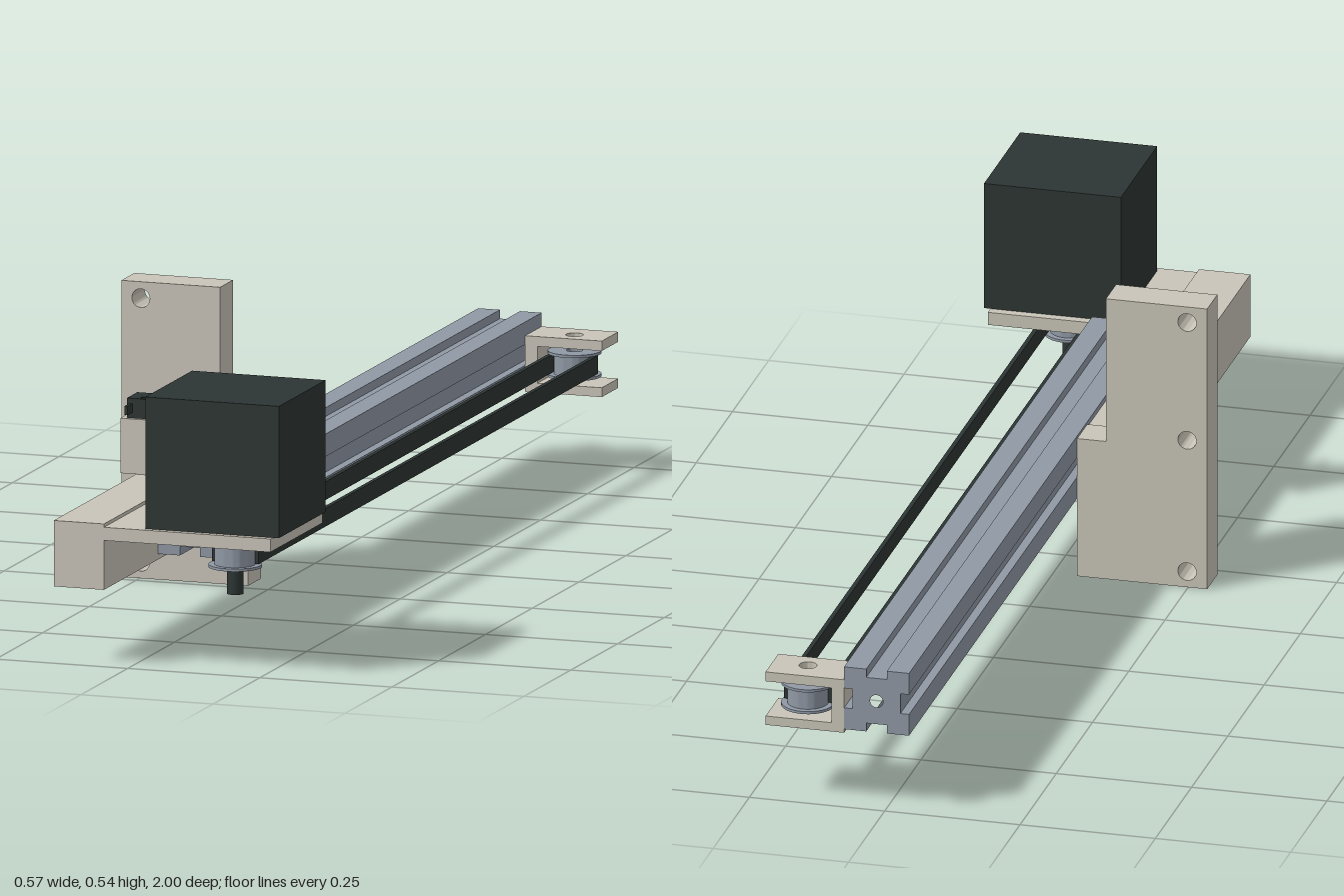
import * as THREE from 'three';
import { toCreasedNormals } from 'three/addons/utils/BufferGeometryUtils.js';

const material = (name, color) => {
  const m = new THREE.MeshStandardMaterial({ color });
  m.name = name;
  return m;
};

export function createModel() {
  const model = new THREE.Group();
  model.name = 'beltDrivenLinearAxis';
  const printed = material('warm grey plastic', 0xc9c4b8);
  const metal = material('aluminium', 0x8f98a4);
  const dark = material('dark motor', 0x2c3533);

  const add = (name, geometry, mat, parent = model) => {
    const mesh = new THREE.Mesh(geometry, mat);
    mesh.name = name;
    parent.add(mesh);
    return mesh;
  };
  // Box given by its limits on each axis
  const box = (name, [x0, x1], [y0, y1], [z0, z1], mat, parent) =>
    add(name, new THREE.BoxGeometry(x1 - x0, y1 - y0, z1 - z0)
      .translate((x0 + x1) / 2, (y0 + y1) / 2, (z0 + z1) / 2), mat, parent);
  // Extruded outline with round holes [x, y, radius]
  const extrude = (points, holes, depth) => {
    const shape = new THREE.Shape(points.map(([x, y]) => new THREE.Vector2(x, y)));
    for (const [x, y, r] of holes) {
      shape.holes.push(new THREE.Path().absarc(x, y, r, 0, Math.PI * 2, true));
    }
    return toCreasedNormals(new THREE.ExtrudeGeometry(shape,
      { depth, bevelEnabled: false, curveSegments: 24 }), 0.6);
  };
  const rect = (a0, a1, b0, b1) => [[a0, b0], [a1, b0], [a1, b1], [a0, b1]];
  // Horizontal plate with an outline in x and z
  const flatPlate = (name, points, holes, y0, y1, parent) =>
    add(name, extrude(points, holes, y1 - y0).rotateX(Math.PI / 2).translate(0, y1, 0), printed, parent);

  // Slotted rail: one quarter-side profile turned four times
  const half = 0.06, slot = 0.019, depth = 0.016;
  const side = [[-half, half], [-slot, half], [-slot, half - depth], [slot, half - depth], [slot, half]];
  const profile = [];
  for (let i = 0; i < 4; i++) {
    const a = -i * Math.PI / 2, c = Math.cos(a), s = Math.sin(a);
    for (const [x, y] of side) profile.push([x * c - y * s, x * s + y * c]);
  }
  add('rail', extrude(profile, [[0, 0, 0.012]], 1.71).translate(0.015, 0.21, -1), metal);

  // Upright mounting plate with a stepped outline and three holes
  add('mountingPlate', extrude(
    [[-0.285, 0], [-0.045, 0], [-0.045, 0.265], [-0.098, 0.265], [-0.098, 0.54], [-0.285, 0.54]],
    [0.03, 0.283, 0.51].map((y) => [-0.248, y, 0.017]), 0.07).translate(0, 0, 0.16), printed);

  // Side arm holding the rail, bored crosswise
  add('sideArm', extrude(rect(0.23, 1, 0.14, 0.26),
    [[0.45, 0.2, 0.033], [0.65, 0.2, 0.033]], 0.095)
    .rotateY(-Math.PI / 2).translate(-0.045, 0, 0), printed);

  // Motor, its mount and its shaft
  const mx = 0.155, mz = 0.863;
  const screws = [[-1, -1], [1, -1], [1, 1], [-1, 1]].map(([i, j]) => [mx + i * 0.092, mz + j * 0.092, 0.011]);
  flatPlate('motorMount', rect(-0.045, 0.27, 0.72, 1), [[mx, mz, 0.068], ...screws], 0.23, 0.254);
  box('motor', [0.029, 0.282], [0.254, 0.494], [0.738, 0.988], dark);
  add('motorBoss', new THREE.CylinderGeometry(0.062, 0.062, 0.018, 32).translate(mx, 0.246, mz), dark);
  add('motorShaft', new THREE.CylinderGeometry(0.015, 0.015, 0.13, 24).translate(mx, 0.186, mz), dark);

  // Flanged pulleys with a bore
  const pulleyProfile = [[0.0145, 0.17], [0.048, 0.17], [0.048, 0.175], [0.037, 0.175],
    [0.037, 0.212], [0.048, 0.212], [0.048, 0.217], [0.0145, 0.217], [0.0145, 0.17]]
    .map(([x, y]) => new THREE.Vector2(x, y));
  const pulley = (name, z) => add(name,
    toCreasedNormals(new THREE.LatheGeometry(pulleyProfile, 40), 0.6).translate(mx, 0, z), metal);
  pulley('drivePulley', mz);
  pulley('idlerPulley', -0.95);

  // Two belt runs between the pulleys
  for (const s of [-1, 1]) {
    const x = mx + s * 0.04;
    box(s < 0 ? 'innerBeltRun' : 'outerBeltRun', [x - 0.004, x + 0.004], [0.177, 0.21], [-0.95, mz], dark);
  }

  // Forked idler holder at the far end of the rail
  const idler = new THREE.Group();
  idler.name = 'idlerHolder';
  model.add(idler);
  box('idlerWeb', [0.075, 0.098], [0.16, 0.227], [-1, -0.912], printed, idler);
  for (const [name, y0, y1] of [['idlerLowerPlate', 0.143, 0.16], ['idlerUpperPlate', 0.227, 0.245]]) {
    flatPlate(name, rect(0.075, 0.22, -1, -0.912), [[mx, -0.95, 0.016]], y0, y1, idler);
  }

  // Limit switch on its block
  const limit = new THREE.Group();
  limit.name = 'limitSwitch';
  model.add(limit);
  box('switchBlock', [-0.17, -0.045], [0.26, 0.36], [0.5, 0.56], printed, limit);
  add('switchBody', extrude(rect(-0.16, -0.042, 0.497, 0.552),
    [[-0.132, 0.54, 0.006], [-0.072, 0.54, 0.006]], 0.036)
    .rotateX(Math.PI / 2).translate(0, 0.396, 0), dark, limit);
  for (const x of [-0.153, -0.1, -0.055]) {
    box('switchPin', [x - 0.003, x + 0.003], [0.37, 0.386], [0.55, 0.578], dark, limit);
  }
  const lever = add('switchLever', new THREE.BoxGeometry(0.1, 0.016, 0.003), dark, limit);
  lever.position.set(-0.093, 0.378, 0.482);
  lever.rotation.y = 0.2;
  return model;
}
